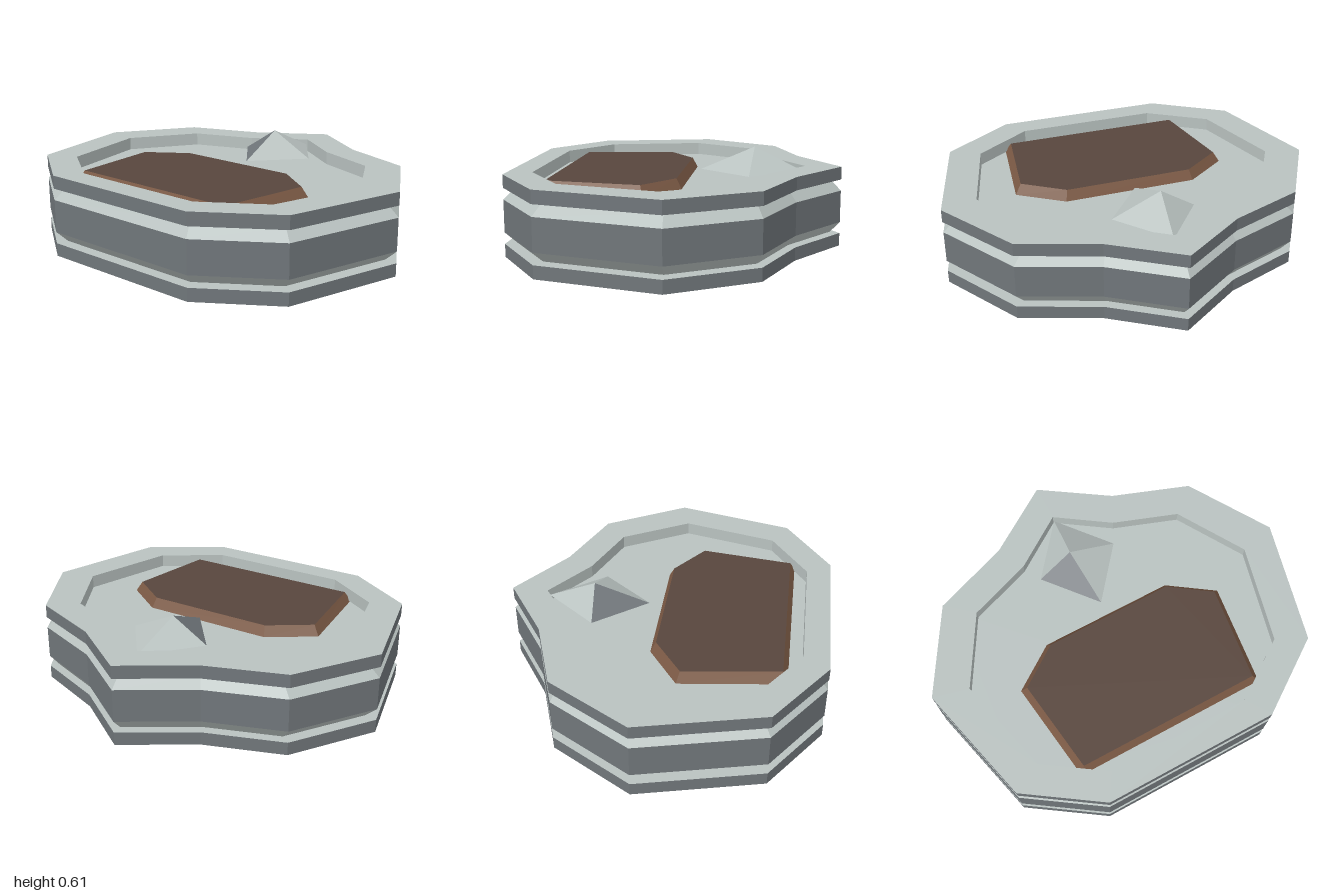
import * as THREE from 'three';

const MID = 0.307; // height of the mirror plane between upper and lower halves

const paint = (name, color) => {
  const m = new THREE.MeshStandardMaterial({ color });
  m.name = name;
  return m;
};

// Right half of an outline, back to front, mirrored into a closed loop
function loop(half) {
  const left = half.filter(([x]) => x > 0).map(([x, z]) => [-x, z]).reverse();
  return [...half, ...left];
}
const scaled = (pts, k) => pts.map(([x, z]) => [x * k, z * k]);

// Triangles joining two loops at two heights
function band(a, ha, b, hb) {
  const out = [];
  a.forEach((p, i) => {
    const j = (i + 1) % a.length;
    const A = [p[0], ha, p[1]], B = [b[i][0], hb, b[i][1]];
    const C = [a[j][0], ha, a[j][1]], D = [b[j][0], hb, b[j][1]];
    out.push([A, B, C], [C, B, D]);
  });
  return out;
}

// Flat fill of a loop, facing up (or down)
function cap(pts, h, up = true) {
  const contour = pts.map(([x, z]) => new THREE.Vector2(x, z));
  return THREE.ShapeUtils.triangulateShape(contour, []).map((t) => {
    const [a, b, c] = t.map((i) => contour[i]);
    const facesDown = (b.x - a.x) * (c.y - a.y) - (b.y - a.y) * (c.x - a.x) > 0;
    const order = facesDown === up ? [a, c, b] : [a, b, c];
    return order.map((v) => [v.x, h, v.y]);
  });
}

// Mesh from triangles; side -1 turns it over into the lower half
function build(name, material, tris, side = 1) {
  const pos = [];
  for (const t of tris) {
    const order = side > 0 ? t : [t[0], t[2], t[1]];
    for (const [x, h, z] of order) pos.push(x, MID + side * h, z);
  }
  const g = new THREE.BufferGeometry();
  g.setAttribute('position', new THREE.Float32BufferAttribute(pos, 3));
  g.computeVertexNormals();
  const mesh = new THREE.Mesh(g, material);
  mesh.name = name;
  return mesh;
}

export function createModel() {
  const light = paint('light stone', 0xb9c2c0);
  const dark = paint('dark stone', 0x70767a);
  const brown = paint('brown edge', 0x7c5a45);
  const deep = paint('dark brown', 0x58463d);

  const outer = loop([[0, -0.847], [0.345, -0.617], [0.742, -0.472], [1, -0.045], [0.84, 0.588], [0.462, 0.845]]);
  const inner = loop([[0, -0.657], [0.27, -0.472], [0.603, -0.352], [0.812, 0.002], [0.684, 0.51], [0.38, 0.715]]);
  const body = scaled(outer, 0.94);
  const plateBase = loop([[0.355, -0.045], [0.585, 0.115], [0.515, 0.648]]);
  const plateTop = loop([[0.343, -0.018], [0.553, 0.13], [0.487, 0.622]]);

  const model = new THREE.Group();
  model.name = 'stoneDisc';

  // Upright wall of the thick middle
  model.add(build('bodyWall', dark, band(outer, -0.085, outer, 0.085)));

  for (const side of [1, -1]) {
    const half = new THREE.Group();
    half.name = side > 0 ? 'upperHalf' : 'lowerHalf';
    const add = (name, mat, tris) => half.add(build(name, mat, tris, side));

    // Chamfer and recess floor of the middle
    add('bodyChamfer', light, [...band(outer, 0.085, body, 0.139), ...cap(body, 0.139)]);

    // Flat ring with its recess wall
    add('ringEdge', dark, band(outer, 0.145, outer, 0.213));
    add('ringFaces', light, [
      ...band(outer, 0.213, inner, 0.213),
      ...band(inner, 0.213, inner, 0.145),
      ...band(inner, 0.145, outer, 0.145),
    ]);

    // Bevelled brown plate
    add('plateBevel', brown, band(plateBase, 0.139, plateTop, 0.192));
    add('plateFace', deep, cap(plateTop, 0.192));

    // Four-sided gem with one dark facet
    const base = [[0, -0.645], [0.22, -0.373], [0, -0.105], [-0.22, -0.373]];
    const peak = base.map(() => [-0.032, -0.388]);
    const facets = band(base, 0.186, peak, 0.307).filter((t, i) => i % 2 === 0);
    add('gem', light, [facets[0], facets[1], facets[3], ...cap(base, 0.186, false)]);
    add('gemDarkFacet', dark, [facets[2]]);

    model.add(half);
  }
  return model;
}
